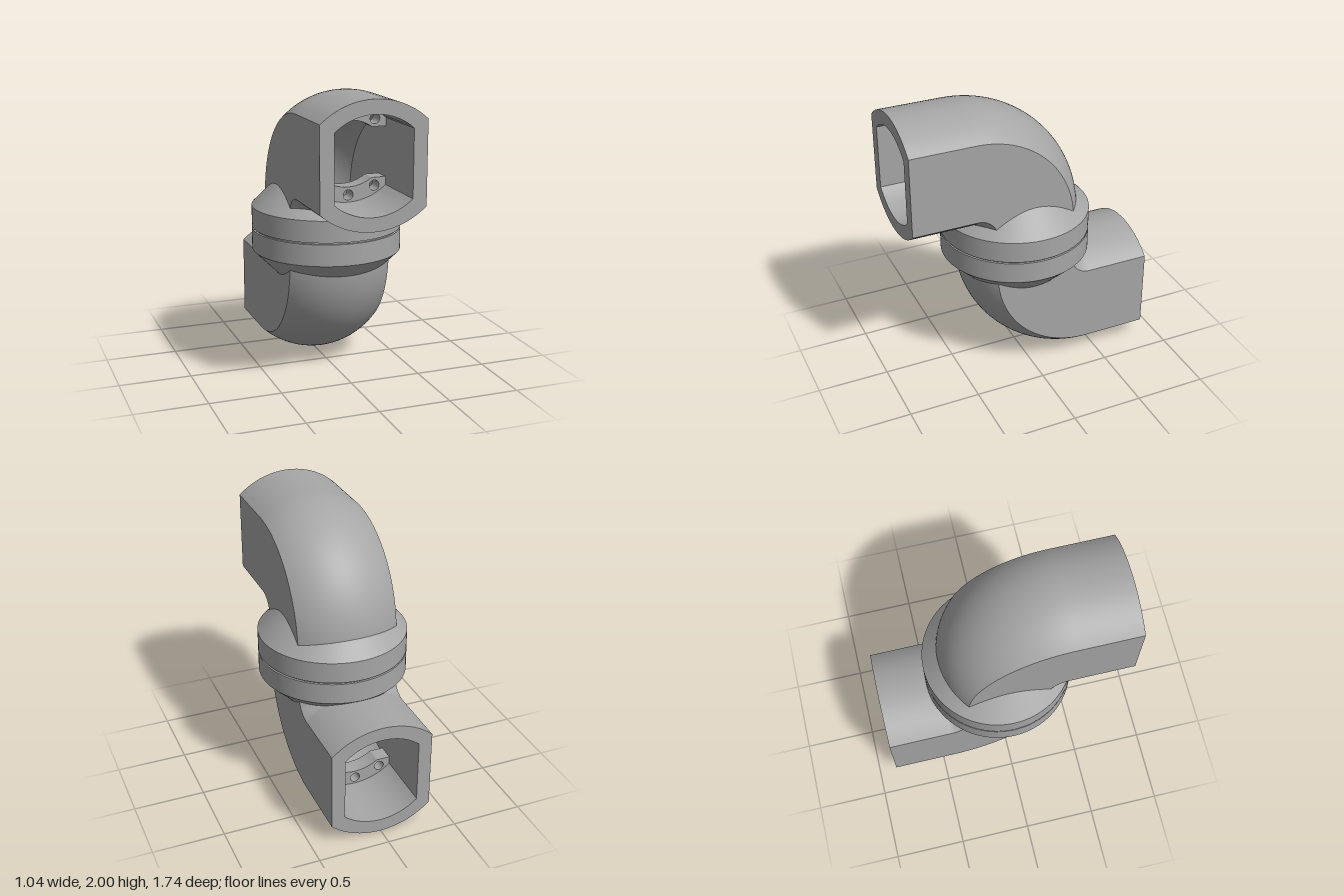
import * as THREE from 'three';

const FRONT = 0.87, R = 0.42, BEND_Y = 0.16; // heights are measured from the joint plane

// Four sides of a flat-sided round section, counterclockwise: top, left, bottom, right
function sectionSides(w, h, sag) {
  const r = (w * w + sag * sag) / (2 * sag), half = Math.asin(w / r), n = 20;
  const top = [];
  for (let i = 0; i <= n; i++) {
    const a = half - (2 * half * i) / n;
    top.push([r * Math.sin(a), h - r + r * Math.cos(a)]);
  }
  const bottom = top.map(([x, y]) => [-x, -y]);
  return [top, [top[n], bottom[0]], bottom, [bottom[n], top[0]]];
}

// Stations along the elbow: straight mouth, quarter bend, straight neck
const stations = [{ a: 0, out: FRONT - R, down: 0 }];
for (let i = 0; i <= 32; i++) stations.push({ a: (i / 32) * Math.PI / 2, out: 0, down: 0 });
stations.push({ a: Math.PI / 2, out: 0, down: BEND_Y });

// Sweep one side of the section along the elbow
function sweep(side, inward) {
  const pos = [], idx = [], m = side.length;
  stations.forEach(({ a, out, down }, i) => {
    side.forEach(([x, v], j) => {
      pos.push(x, BEND_Y + Math.cos(a) * (R + v) - down, R + out - Math.sin(a) * (R + v));
      if (i && j) {
        const d = i * m + j, c = d - 1, b = d - m, e = b - 1;
        if (inward) idx.push(e, b, c, b, d, c);
        else idx.push(e, c, b, b, c, d);
      }
    });
  });
  const g = new THREE.BufferGeometry();
  g.setAttribute('position', new THREE.Float32BufferAttribute(pos, 3));
  g.setIndex(idx);
  g.computeVertexNormals();
  return g;
}

const toVectors = (sides) => sides.flatMap((s) => s.slice(0, -1)).map(([x, y]) => new THREE.Vector2(x, y));

// Collar cone, trimmed so that its upper edge ends within the pipe wall
function coneGeometry() {
  const g = new THREE.CylinderGeometry(0.4, 0.52, 0.12, 96, 1, true);
  const p = g.attributes.position;
  for (let i = 0; i < p.count; i++) {
    const t = Math.atan2(p.getX(i), p.getZ(i));
    const limit = 0.345 / Math.max(Math.abs(Math.sin(t)), 0.01);
    const r = p.getY(i) > 0 ? Math.min(limit, 0.415 + 0.015 * Math.cos(t)) : 0.52;
    p.setXYZ(i, r * Math.sin(t), 0.155 + 0.52 - r, r * Math.cos(t));
  }
  return g;
}

// Segment-shaped lug with three bolt holes
function lugGeometry(innerTop) {
  const w = 0.165, low = 0.17, sag = 0.052;
  const r = (w * w + sag * sag) / (2 * sag), half = Math.asin(w / r);
  const pts = innerTop.map(([x, y]) => new THREE.Vector2(x, y));
  pts.push(new THREE.Vector2(-0.265, low));
  for (let i = 0; i <= 16; i++) {
    const a = -half + (2 * half * i) / 16;
    pts.push(new THREE.Vector2(r * Math.sin(a), low + sag - r + r * Math.cos(a)));
  }
  pts.push(new THREE.Vector2(0.265, low));
  const shape = new THREE.Shape(pts);
  for (const [x, y] of [[-0.185, 0.224], [0, 0.276], [0.185, 0.224]]) {
    shape.holes.push(new THREE.Path().absarc(x, y, 0.035, 0, Math.PI * 2, true));
  }
  return new THREE.ExtrudeGeometry(shape, { depth: 0.12, bevelEnabled: false, curveSegments: 16 });
}

export function createModel() {
  const grey = new THREE.MeshStandardMaterial({ color: 0xa6a6a6 });
  grey.name = 'grey';
  const half = new THREE.Group();
  const add = (name, geometry, y = 0, z = 0) => {
    const mesh = new THREE.Mesh(geometry, grey);
    mesh.name = name;
    mesh.position.set(0, y, z);
    half.add(mesh);
    return mesh;
  };

  // Pipe walls, outside and inside
  const outer = sectionSides(0.36, 0.42, 0.14);
  const inner = sectionSides(0.265, 0.325, 0.1);
  outer.forEach((side) => add('pipeOuterWall', sweep(side, false)));
  inner.forEach((side) => add('pipeInnerWall', sweep(side, true)));

  // Flat rim of the mouth
  const rim = new THREE.Shape(toVectors(outer));
  rim.holes.push(new THREE.Path(toVectors(inner)));
  add('mouthRim', new THREE.ShapeGeometry(rim), BEND_Y + R, FRONT);

  // Bolt lugs inside the pipe, above and below
  const lug = lugGeometry(inner[0]);
  add('upperLug', lug, BEND_Y + R, 0.305);
  add('lowerLug', lug, BEND_Y + R, 0.305).rotation.z = Math.PI;

  // Collar with a shallow groove at the joint
  add('collarBand', new THREE.CylinderGeometry(0.52, 0.52, 0.149, 96, 1, true), 0.0805);
  add('collarCone', coneGeometry());
  add('jointGroove', new THREE.CylinderGeometry(0.505, 0.505, 0.006, 96, 1, true), 0.003);
  add('collarFace', new THREE.RingGeometry(0.46, 0.52, 96), 0.006).rotation.x = Math.PI / 2;

  // The lower elbow is the upper one turned half round
  half.name = 'upperElbow';
  half.position.y = 1;
  const lower = half.clone();
  lower.name = 'lowerElbow';
  lower.rotation.x = Math.PI;

  const model = new THREE.Group();
  model.name = 'swivelElbowJoint';
  model.add(half, lower);
  return model;
}
